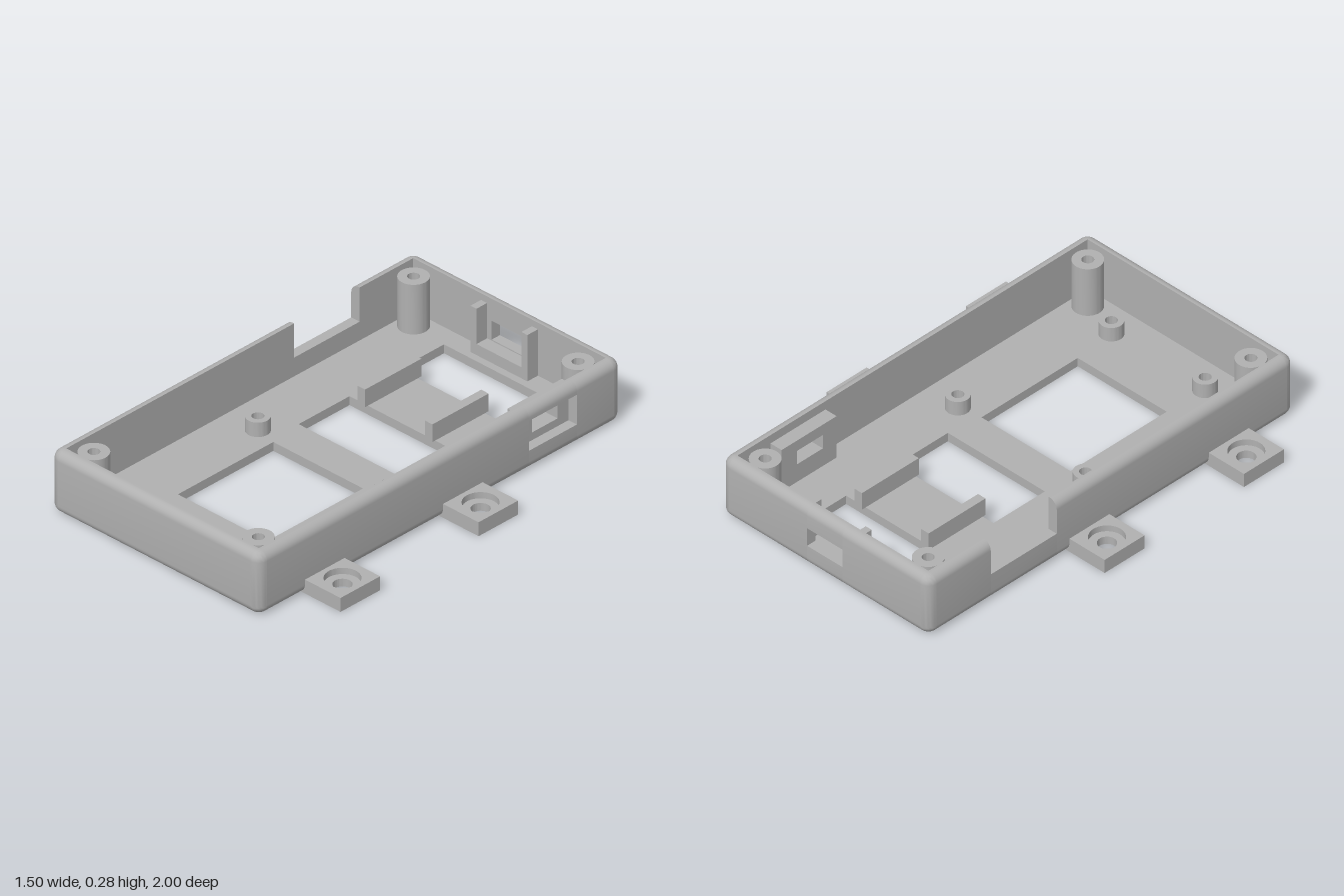
import * as THREE from 'three';
import { toCreasedNormals } from 'three/addons/utils/BufferGeometryUtils.js';

const H = 0.28, T = 0.045, R = 0.04;   // wall height, wall thickness, edge radius
const IX = 0.515, IZ = 0.955;          // inner half sizes
const FLOOR = 0.04;

export function createModel() {
  const model = new THREE.Group();
  const grey = new THREE.MeshStandardMaterial({ color: 0xb0b0b0 });
  grey.name = 'grey plastic';

  const add = (name, geometry) => {
    const mesh = new THREE.Mesh(toCreasedNormals(geometry, 0.5), grey);
    mesh.name = name;
    model.add(mesh);
    return mesh;
  };

  const box = (name, x0, x1, y0, y1, z0, z1) => {
    const g = new THREE.BoxGeometry(x1 - x0, y1 - y0, z1 - z0);
    g.translate((x0 + x1) / 2, (y0 + y1) / 2, (z0 + z1) / 2);
    return add(name, g);
  };

  // Plan outlines: shape y is -z
  const rect = (x0, x1, z0, z1, Kind = THREE.Path) => {
    const p = new Kind();
    p.moveTo(x0, -z1);
    p.lineTo(x1, -z1);
    p.lineTo(x1, -z0);
    p.lineTo(x0, -z0);
    p.closePath();
    return p;
  };
  const circle = (x, z, r, Kind = THREE.Path) => {
    const p = new Kind();
    p.absarc(x, -z, r, 0, Math.PI * 2, false);
    return p;
  };
  const slab = (name, outline, holes, y0, y1) => {
    outline.holes.push(...holes);
    const g = new THREE.ExtrudeGeometry(outline, { depth: y1 - y0, bevelEnabled: false, curveSegments: 24 });
    g.rotateX(-Math.PI / 2);
    g.translate(0, y0, 0);
    return add(name, g);
  };

  // Wall cross-section between two heights, with rounded outer edges
  const outer = (y) => {
    const d = Math.max(R - y, y - (H - R), 0);
    return T - R + Math.sqrt(Math.max(R * R - d * d, 0));
  };
  const profile = (y0, y1) => {
    const ys = [y0];
    for (let i = 1; i <= 8; i++) ys.push(R - R * Math.cos((i / 8) * Math.PI / 2));
    for (let i = 0; i < 8; i++) ys.push(H - R + R * Math.sin((i / 8) * Math.PI / 2));
    ys.push(y1);
    const inside = ys.filter((y, i) => i === 0 || i === ys.length - 1 || (y > y0 + 1e-4 && y < y1 - 1e-4));
    return [[0, y0], ...inside.map((y) => [outer(y), y]), [0, y1]].map((p) => new THREE.Vector2(...p));
  };

  // Straight piece of wall; angle turns the right-hand (+x) wall to the other sides
  const wall = (name, angle, inner, s0, s1, y0 = 0, y1 = H) => {
    const g = new THREE.ExtrudeGeometry(new THREE.Shape(profile(y0, y1)), { depth: s1 - s0, bevelEnabled: false });
    g.translate(inner, 0, s0);
    g.rotateY(angle);
    add(name, g);
  };

  // Floor with three windows
  slab('floor', rect(-IX, IX, -IZ, IZ, THREE.Shape), [
    rect(-0.263, 0.26, -0.865, -0.62),
    rect(-0.263, 0.26, -0.345, -0.065),
    rect(-0.243, 0.237, 0.095, 0.62),
  ], 0, FLOOR);

  // Front wall
  wall('frontWall', -Math.PI / 2, IZ, -IX, IX);

  // Back wall with port
  wall('backWall', Math.PI / 2, IZ, -IX, -0.095);
  wall('backWall', Math.PI / 2, IZ, 0.095, IX);
  wall('backWallBelowPort', Math.PI / 2, IZ, -0.095, 0.095, 0, 0.095);
  wall('backWallAbovePort', Math.PI / 2, IZ, -0.095, 0.095, 0.18, H);

  // +x wall with switch recess
  wall('leftWall', 0, IX, -IZ, -0.75);
  wall('leftWall', 0, IX, -0.485, IZ);
  wall('leftWallBelowRecess', 0, IX, -0.75, -0.485, 0, 0.09);
  wall('leftWallAboveRecess', 0, IX, -0.75, -0.485, 0.225, H);

  // -x wall with notch
  wall('rightWall', Math.PI, IX, -IZ, 0.3);
  wall('rightWall', Math.PI, IX, 0.66, IZ);
  wall('rightWallNotch', Math.PI, IX, 0.3, 0.66, 0, 0.125);

  // Rounded corners
  [[1, 1, 0], [1, -1, 1], [-1, -1, 2], [-1, 1, 3]].forEach(([sx, sz, k]) => {
    const g = new THREE.LatheGeometry(profile(0, H), 8, k * Math.PI / 2, Math.PI / 2);
    g.translate(sx * IX, 0, sz * IZ);
    add('cornerWall', g);
  });

  // Switch housing behind the recess
  box('switchHousingBottom', 0.455, IX, FLOOR, 0.125, -0.775, -0.475);
  box('switchHousingTop', 0.455, IX, 0.19, 0.24, -0.775, -0.475);
  box('switchHousingSide', 0.455, IX, 0.125, 0.19, -0.775, -0.69);
  box('switchHousingSide', 0.455, IX, 0.125, 0.19, -0.55, -0.475);

  // Port bracket on the back wall
  box('portBracketLip', -0.12, 0.12, FLOOR, 0.09, -IZ, -0.897);
  for (const s of [-1, 1]) {
    box('portBracketUpright', s * 0.136 - 0.016, s * 0.136 + 0.016, FLOOR, 0.25, -IZ, -0.897);
    // Rails between the windows
    box('rail', s * 0.18 - 0.025, s * 0.18 + 0.015, FLOOR, 0.12, -0.64, -0.33);

    // Screw posts
    for (const [x, z, r, top] of [
      [0.44, -0.88, 0.063, 0.265], [0.44, 0.88, 0.063, 0.265],
      [0.345, 0.075, 0.05, 0.105], [0.253, 0.82, 0.05, 0.105],
    ]) {
      slab('screwPost', circle(s * x, z, r, THREE.Shape), [circle(s * x, z, 0.025)], FLOOR, top);
    }

    // Mounting tabs with counterbored holes
    for (const z of [-0.122, 0.638]) {
      const xs = s > 0 ? [0.535, 0.75] : [-0.75, -0.535];
      const plan = () => rect(...xs, z - 0.109, z + 0.109, THREE.Shape);
      slab('mountingTab', plan(), [circle(s * 0.655, z, 0.039)], 0, 0.035);
      slab('mountingTabRim', plan(), [circle(s * 0.655, z, 0.073)], 0.035, 0.063);
    }
  }

  return model;
}
